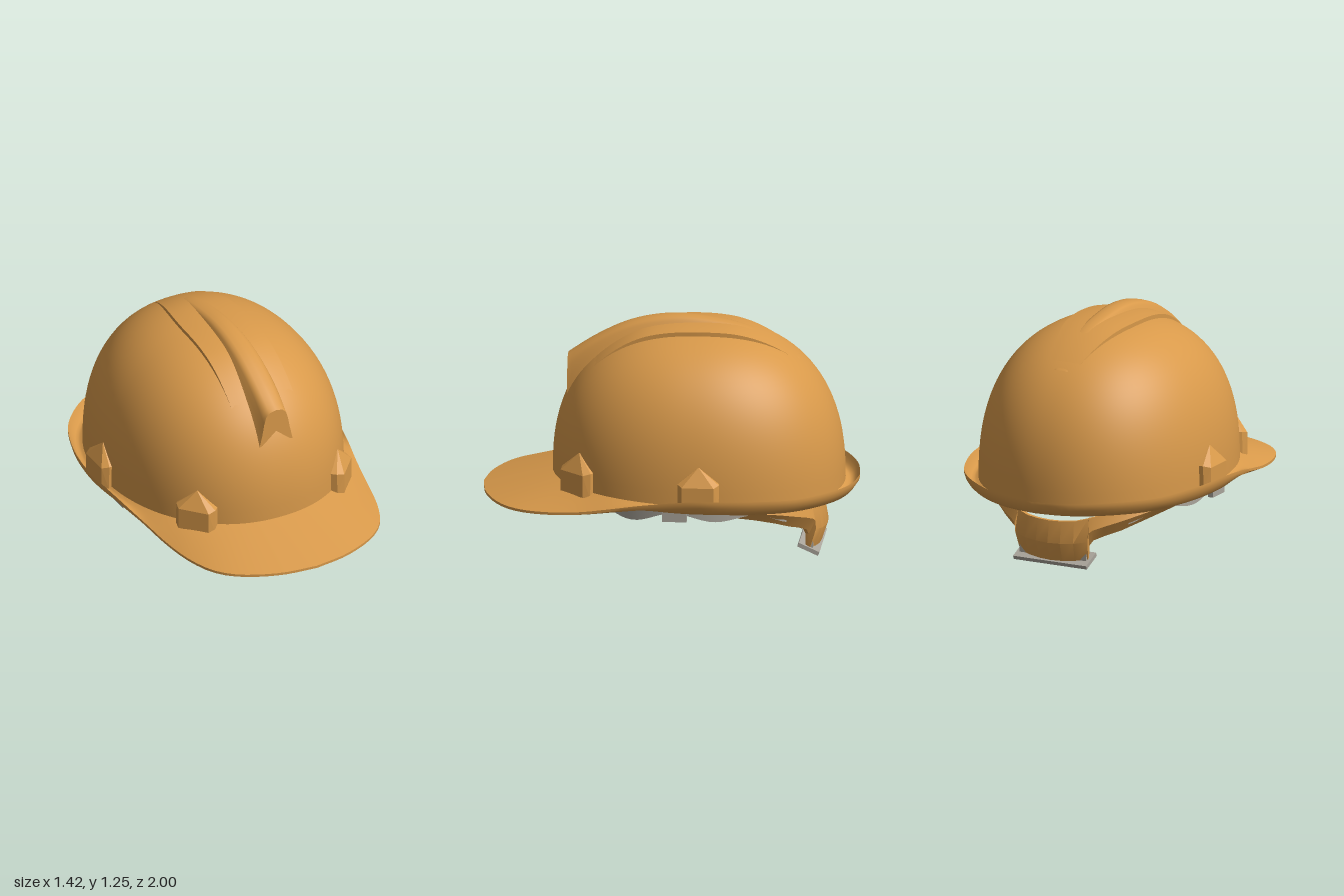
import * as THREE from 'three';
import { toCreasedNormals } from 'three/addons/utils/BufferGeometryUtils.js';
import { ConvexGeometry } from 'three/addons/geometries/ConvexGeometry.js';

const V = (x, y, z) => new THREE.Vector3(x, y, z);
const { lerp, smoothstep } = THREE.MathUtils;
const TAU = Math.PI * 2;

const orange = new THREE.MeshStandardMaterial({ color: 0xd8994a, side: THREE.DoubleSide });
orange.name = 'orange plastic';
const grey = new THREE.MeshStandardMaterial({ color: 0xaaa59b, side: THREE.DoubleSide });
grey.name = 'grey padding';

// Dome dimensions: plan half-axes, centre, top and roundness
const SX = 0.645, SZ = 0.775, CZ = -0.145, TOP = 1.205, N = 2.4, M = 2.15;
const baseY = (a) => 0.385 + 0.025 * Math.sin(a);
const domeRadius = (a) =>
  (Math.abs(Math.cos(a) / SX) ** M + Math.abs(Math.sin(a) / SZ) ** M) ** (-1 / M);
const polar = (a, r, y) => V(r * Math.cos(a), y, CZ + r * Math.sin(a));

function domeY(x, z) {
  const a = Math.atan2(z - CZ, x);
  const f = Math.min(1, Math.hypot(x, z - CZ) / domeRadius(a));
  return lerp(baseY(a), TOP, (1 - f ** N) ** (1 / N));
}

// Brim edge, front to back along the left side
const edge = new THREE.CatmullRomCurve3([
  [0, 0.305, 1], [0.2, 0.305, 0.97], [0.4, 0.305, 0.88], [0.5, 0.305, 0.78], [0.565, 0.31, 0.63],
  [0.605, 0.325, 0.45], [0.635, 0.355, 0.28], [0.675, 0.395, 0.08], [0.71, 0.43, -0.18],
  [0.7, 0.43, -0.33], [0.66, 0.425, -0.5], [0.57, 0.415, -0.7], [0.4, 0.41, -0.87],
  [0.2, 0.4, -0.97], [0, 0.395, -1],
].map((p) => V(...p))).getPoints(300).map((p) => ({
  a: Math.atan2(p.z - CZ, p.x), r: Math.hypot(p.x, p.z - CZ), y: p.y,
}));

function edgeAt(angle) {
  const a = Math.asin(Math.sin(angle));
  let i = edge.findIndex((e) => e.a <= a);
  if (i < 0) i = edge.length - 1;
  if (i === 0) return edge[0];
  const p = edge[i - 1], q = edge[i], t = (p.a - a) / (p.a - q.a);
  return { r: lerp(p.r, q.r, t), y: lerp(p.y, q.y, t) };
}

// Skin a row of equal-length cross-sections
function loft(sections, crease = 0.6, closed = false) {
  const n = sections[0].length, index = [];
  for (let i = 0; i < sections.length - 1; i++) {
    for (let j = 0; j < (closed ? n : n - 1); j++) {
      const k = (j + 1) % n, a = i * n + j, b = i * n + k, c = a + n, d = b + n;
      index.push(a, b, c, b, d, c);
    }
  }
  const g = new THREE.BufferGeometry().setFromPoints(sections.flat());
  g.setIndex(index);
  return toCreasedNormals(g, crease);
}

// Dome, gutter, brim and inner wall in one section per angle
function shellSection(a) {
  const pts = [], r = domeRadius(a), y0 = baseY(a), e = edgeAt(a);
  const sag = 0.03 * (1 - smoothstep(Math.sin(a), -0.1, 0.6));
  const dome = (i, scale, drop) => {
    const t = (i / 28) * Math.PI / 2;
    const f = Math.sin(t) ** (2 / N), h = i === 28 ? 0 : Math.cos(t) ** (2 / N);
    return polar(a, r * f * scale, lerp(y0, TOP, h) - drop);
  };
  const brim = (t, drop) =>
    polar(a, lerp(r, e.r, t), lerp(y0, e.y, t) - sag * Math.sin(Math.PI * t) - drop);
  for (let i = 0; i <= 28; i++) pts.push(dome(i, 1, 0));
  for (const t of [0.15, 0.3, 0.5, 0.7, 0.85, 0.95]) pts.push(brim(t, 0));
  pts.push(brim(1, 0), brim(1, 0.014));
  for (const t of [0.9, 0.7, 0.5, 0.25, 0]) pts.push(brim(t, 0.024));
  for (let i = 28; i >= 0; i--) pts.push(dome(i, 0.96, 0.024));
  return pts;
}

// Raised central ridge with a blunt front end
function ridge() {
  const crest = new THREE.CatmullRomCurve3([
    [1.03, 0.55], [1.12, 0.41], [1.2, 0.25], [1.24, 0.11], [1.255, -0.03], [1.245, -0.18],
    [1.2, -0.4], [1.127, -0.55], [1.04, -0.68],
  ].map(([y, z]) => V(0, y, z))).getPoints(48);
  const half = [[1, 0], [0.82, 0.35], [0.7, 0.66], [0.58, 0.86], [0.38, 0.96]];
  const profile = [...half.map(([x, y]) => [-x, y]), [0, 1], ...half.slice().reverse()];
  const sections = crest.map((c) => {
    const w = lerp(0.06, 0.102, smoothstep(c.z, -0.68, 0.55));
    return profile.map(([x, y]) => V(x * w, lerp(domeY(x * w, c.z) - 0.012, c.y, y), c.z));
  });
  sections.unshift(profile.map(() => V(0, 0.9, 0.55)));
  return loft(sections, 0.7);
}

// Shallow raised panel either side of the ridge
function panel() {
  const sections = [];
  for (let i = 0; i <= 48; i++) {
    const z = lerp(0.46, -0.7, i / 48);
    const w = lerp(0.07, 0.185, Math.sin(Math.min(1, (z + 0.7) / 0.6) * Math.PI / 2));
    const lift = 0.024 * smoothstep(z, -0.7, -0.3) * (1 - smoothstep(z, 0.1, 0.46)) - 0.002;
    const row = [V(-w, domeY(w, z) - 0.02, z)];
    for (let s = -4; s <= 4; s++) row.push(V(s * w / 4, domeY(s * w / 4, z) + lift, z));
    row.push(V(w, domeY(w, z) - 0.02, z));
    sections.push(row);
  }
  return loft(sections, 0.6);
}

// House-shaped accessory lug, outer face at local z = 0
function lug() {
  const pts = [V(0, 0.6, -0.055), V(0, 0.58, -0.1)];
  for (const s of [-1, 1]) {
    pts.push(V(s * 0.085, 0.38, 0), V(s * 0.085, 0.5, 0));
    pts.push(V(s * 0.11, 0.375, -0.03), V(s * 0.11, 0.51, -0.035));
    pts.push(V(s * 0.11, 0.375, -0.1), V(s * 0.11, 0.51, -0.1));
  }
  return new ConvexGeometry(pts);
}

// Headband plan: b = 0 at the front
const bandPoint = (b, y, inset = 0) =>
  V((0.59 - inset) * Math.sin(b), y, -0.15 + (0.66 - inset) * Math.cos(b));

function band(limit, inset, thick) {
  const sections = [];
  for (let i = 0; i <= 90; i++) {
    const b = lerp(-limit, limit, i / 90), d = Math.abs(b);
    const low = 0.285 - 0.022 * Math.cos(d * 9 + 2.8) + 0.02 * smoothstep(d, 0.9, 1.5)
      - 0.05 * smoothstep(d, 1.8, 2.5);
    const high = 0.43 - 0.1 * smoothstep(d, 1.6, 2.4);
    sections.push([bandPoint(b, low, inset), bandPoint(b, high, inset),
      bandPoint(b, high, inset + thick), bandPoint(b, low, inset + thick)]);
  }
  return loft(sections, 0.5, true);
}

// Rear nape strap: x, top, bottom
function nape() {
  const half = [[0.56, 0.37, 0.3], [0.5, 0.36, 0.27], [0.43, 0.345, 0.235], [0.36, 0.325, 0.2],
    [0.29, 0.3, 0.175], [0.235, 0.28, 0.15], [0.215, 0.275, 0.12], [0.21, 0.272, 0.03],
    [0.14, 0.255, 0.02], [0.07, 0.25, 0.015]];
  const row = [...half.map(([x, t, l]) => [-x, t, l]), [0, 0.248, 0.012], ...half.slice().reverse()];
  return loft(row.map(([x, top, low]) => {
    const b = Math.PI - Math.asin(x / 0.59);
    const mid = (top + low) / 2;
    return [bandPoint(b, low, 0.02), bandPoint(b, mid, -0.02), bandPoint(b, top, 0),
      bandPoint(b, top, 0.02), bandPoint(b, mid, 0.005), bandPoint(b, low, 0.04)];
  }), 0.5, true);
}

// Suspension strap arching under the dome
function strap(phi) {
  const sections = [], px = -Math.sin(phi) * 0.05, pz = Math.cos(phi) * 0.05;
  for (let i = 0; i <= 40; i++) {
    const t = (i / 40 - 0.5) * Math.PI, a = t < 0 ? phi + Math.PI : phi;
    const r = domeRadius(a) * 0.9 * Math.abs(Math.sin(t)) ** (2 / N);
    const y = lerp(0.38, 1.13, Math.max(0, Math.cos(t)) ** (2 / N));
    const c = polar(a, r, y);
    sections.push([V(c.x - px, y, c.z - pz), V(c.x + px, y, c.z + pz)]);
  }
  return loft(sections);
}

export function createModel() {
  const group = new THREE.Group();
  const add = (name, geometry, material) => {
    const mesh = new THREE.Mesh(geometry, material);
    mesh.name = name;
    group.add(mesh);
    return mesh;
  };

  const sections = [];
  for (let i = 0; i <= 128; i++) sections.push(shellSection((i / 128) * TAU));
  add('shellAndBrim', loft(sections, 0.7), orange);
  add('topPanel', panel(), orange);
  add('centreRidge', ridge(), orange);

  for (const s of [-1, 1]) {
    const side = s > 0 ? 'left' : 'right';
    const front = add(side + 'FrontLug', lug(), orange);
    front.position.set(s * 0.465, 0, 0.49);
    front.rotation.y = s * Math.atan2(0.75, 0.66);
    const mid = add(side + 'SideLug', lug(), orange);
    mid.position.set(s * 0.69, 0, -0.2);
    mid.rotation.y = s * Math.PI / 2;
    add(side + 'BandClip', new THREE.BoxGeometry(0.03, 0.07, 0.13), grey)
      .position.set(s * 0.605, 0.325, -0.07);
  }

  // Inner harness
  add('headbandPadding', band(2.42, 0, 0.012), grey);
  add('headbandLiner', band(2.42, 0.013, 0.012), orange);
  add('napeStrap', nape(), orange);
  for (const phi of [0, Math.PI / 3, (2 * Math.PI) / 3]) add('suspensionStrap', strap(phi), orange);

  // Nape pad and its lining
  const pad = add('napePad', new THREE.BoxGeometry(0.44, 0.022, 0.12), grey);
  pad.position.set(0, 0.038, -0.745);
  pad.rotation.x = -0.42;
  add('napePadLining', new THREE.BoxGeometry(0.4, 0.09, 0.02), grey).position.set(0, 0.085, -0.758);
  return group;
}
